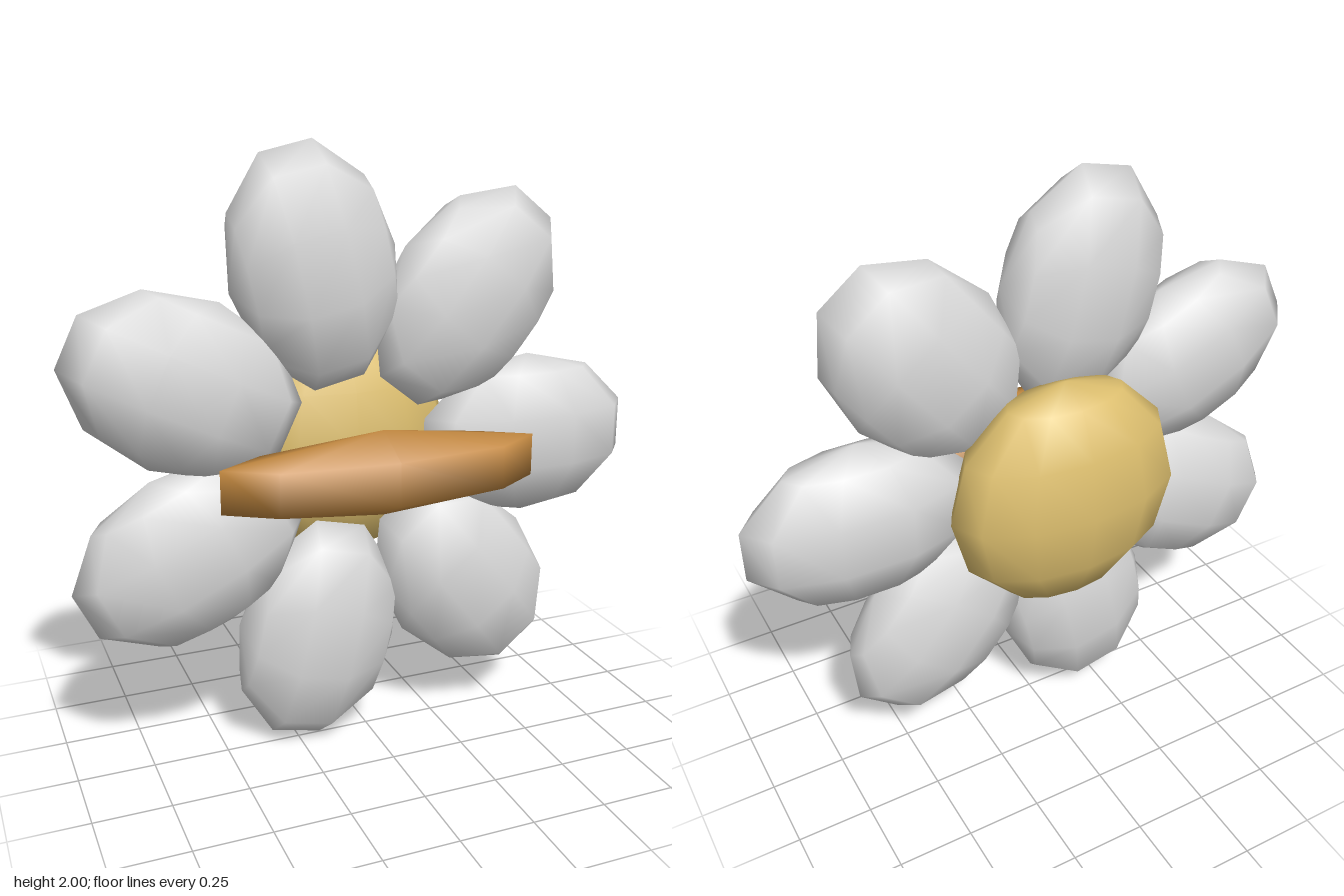
import * as THREE from 'three';

const material = (name, color) => {
  const m = new THREE.MeshStandardMaterial({ color });
  m.name = name;
  return m;
};

// Low-poly ellipsoid with smooth normals, poles along its own y axis
function ellipsoid(name, mat, segments, rings, radii) {
  const geometry = new THREE.SphereGeometry(1, segments, rings);
  geometry.scale(...radii);
  const mesh = new THREE.Mesh(geometry, mat);
  mesh.name = name;
  return mesh;
}

export function createModel() {
  const petalGrey = material('petalGrey', 0xd9d9d9);
  const hubYellow = material('hubYellow', 0xdcbe6e);
  const barBrown = material('barBrown', 0xc28840);

  const flower = new THREE.Group();
  flower.name = 'flower';
  flower.position.set(-0.033, 1, 0);

  // Seven petals in a ring, the first pointing along +x
  const petalCount = 7;
  const ringRadius = 0.625;
  for (let i = 0; i < petalCount; i++) {
    const angle = (i / petalCount) * Math.PI * 2;
    const petal = ellipsoid('petal' + (i + 1), petalGrey, 10, 5, [0.399, 0.28, 0.158]);
    petal.position.set(Math.cos(angle) * ringRadius, Math.sin(angle) * ringRadius, -0.004);
    petal.rotation.z = angle;
    flower.add(petal);
  }

  // Round centre bulging out behind the petals
  const hub = ellipsoid('hub', hubYellow, 12, 6, [0.4, 0.4, 0.2]);
  hub.position.z = -0.168;
  flower.add(hub);

  // Long tapered bar across the front
  const bar = ellipsoid('frontBar', barBrown, 8, 3, [0.603, 0.138, 0.157]);
  bar.position.z = 0.232;
  flower.add(bar);

  const model = new THREE.Group();
  model.name = 'model';
  model.add(flower);
  return model;
}
